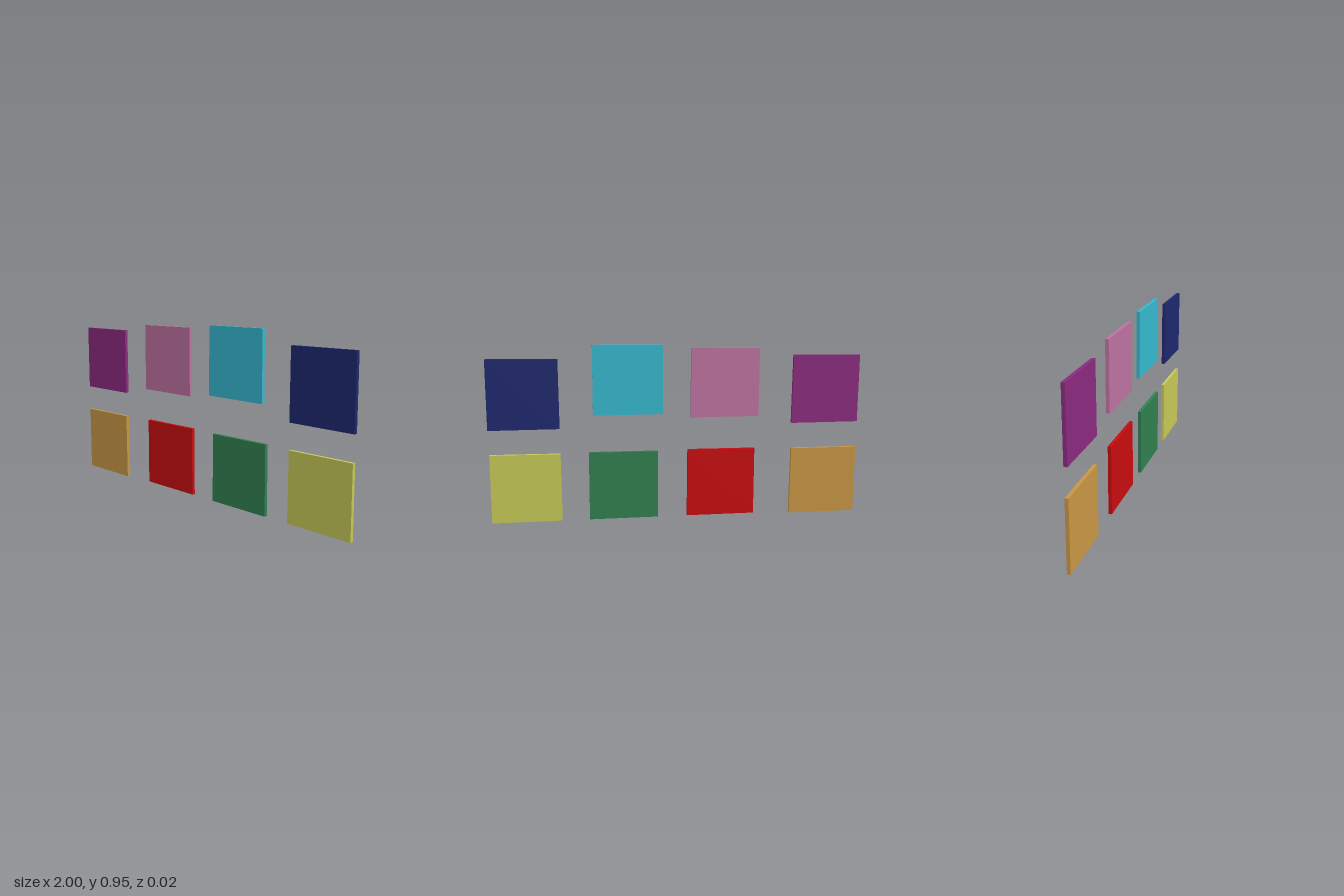
import * as THREE from 'three';

const HALF = 0.186;
const DEPTH = 0.018;

// name, colour, centre x, centre y
const TILES = [
  ['purpleTile', 0x8a2a7e, -0.814, 0.70],
  ['pinkTile', 0xbe72a0, -0.256, 0.744],
  ['cyanTile', 0x35b8ce, 0.266, 0.767],
  ['navyTile', 0x1e286e, 0.814, 0.70],
  ['orangeTile', 0xc89644, -0.814, 0.186],
  ['redTile', 0xc80c0e, -0.237, 0.195],
  ['greenTile', 0x318050, 0.295, 0.195],
  ['yellowTile', 0xc6c958, 0.814, 0.195],
];

// Thin, very slightly irregular square slab
function tileGeometry() {
  const outline = new THREE.Shape([
    new THREE.Vector2(-HALF, -HALF),
    new THREE.Vector2(HALF, -HALF),
    new THREE.Vector2(HALF - 0.003, HALF),
    new THREE.Vector2(-HALF, HALF - 0.003),
  ]);
  const geometry = new THREE.ExtrudeGeometry(outline, { depth: DEPTH, bevelEnabled: false });
  return geometry.translate(0, 0, -DEPTH / 2);
}

export function createModel() {
  const model = new THREE.Group();
  model.name = 'colourTiles';
  const geometry = tileGeometry();

  // Two loose rows of four tiles
  for (const [name, color, x, y] of TILES) {
    const tile = new THREE.Mesh(geometry, new THREE.MeshStandardMaterial({ color }));
    tile.name = name;
    tile.position.set(x, y, 0);
    model.add(tile);
  }
  return model;
}
